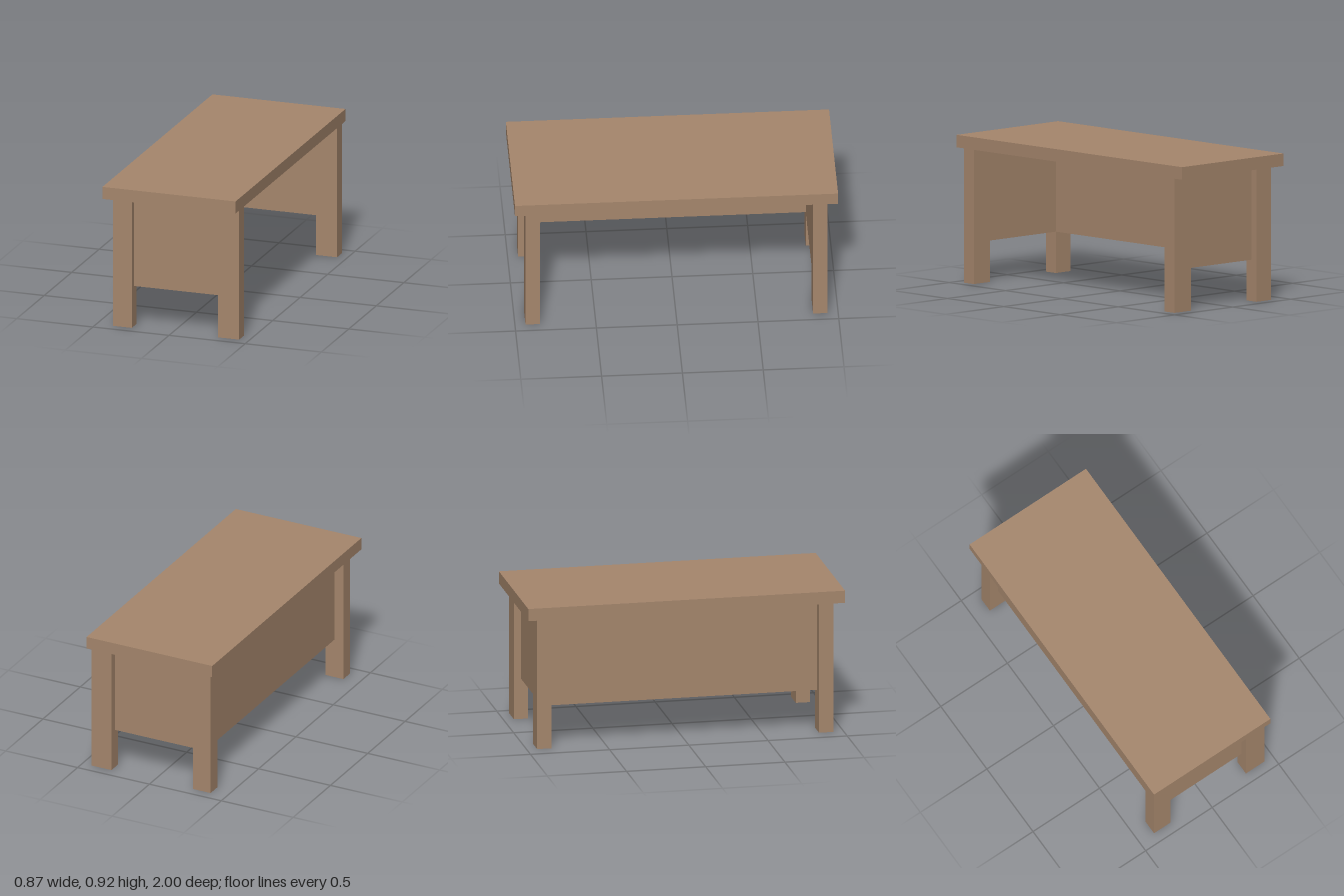
import * as THREE from 'three';

export function createModel() {
  const model = new THREE.Group();
  model.name = 'desk';

  const wood = new THREE.MeshStandardMaterial({ color: 0xa5866c });
  wood.name = 'brown wood';

  // Box given by its extents on each axis
  function addBox(name, [x0, x1], [y0, y1], [z0, z1]) {
    const mesh = new THREE.Mesh(new THREE.BoxGeometry(x1 - x0, y1 - y0, z1 - z0), wood);
    mesh.position.set((x0 + x1) / 2, (y0 + y1) / 2, (z0 + z1) / 2);
    mesh.name = name;
    model.add(mesh);
  }

  const topY = 0.837, panelY = 0.258;
  const innerZ = 0.845, outerZ = 0.935;
  const backX = [-0.392, -0.268], sitterX = [0.298, 0.437];
  const mirrorZ = (side, a, b) => (side > 0 ? [a, b] : [-b, -a]);

  // Table top, flush with the legs on the sitter's side
  addBox('tableTop', [-0.437, 0.437], [topY, 0.915], [-1, 1]);

  // Legs and recessed panel at each end
  for (const side of [1, -1]) {
    const end = side > 0 ? 'front' : 'rear';
    addBox(end + 'OuterLeg', backX, [0, topY], mirrorZ(side, innerZ, outerZ));
    addBox(end + 'SitterLeg', sitterX, [0, topY], mirrorZ(side, innerZ, outerZ));
    addBox(end + 'EndPanel', [backX[1], sitterX[0]], [panelY, topY], mirrorZ(side, innerZ, 0.89));
  }

  // Long modesty panel, flush with the inside of the legs
  addBox('modestyPanel', [-0.33, backX[1]], [panelY, topY], [-innerZ, innerZ]);

  return model;
}
